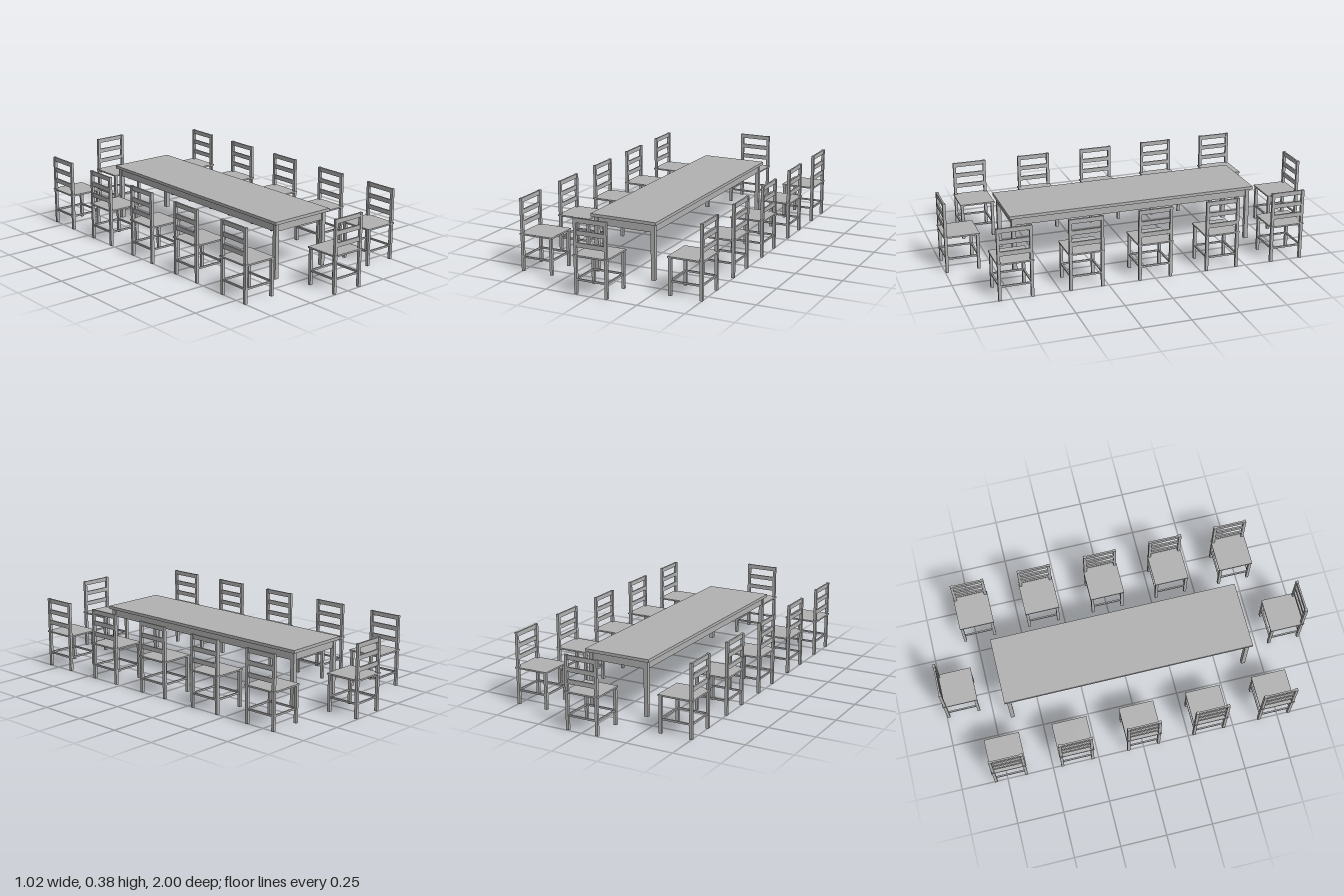
import * as THREE from 'three';

const grey = new THREE.MeshStandardMaterial({ color: 0xb2b2b2 });
grey.name = 'plain grey';

// Box given by its size and centre
function box(parent, name, w, h, d, x, y, z) {
  const mesh = new THREE.Mesh(new THREE.BoxGeometry(w, h, d), grey);
  mesh.name = name;
  mesh.position.set(x, y, z);
  parent.add(mesh);
}

function makeTable() {
  const table = new THREE.Group();
  table.name = 'table';
  const legX = 0.159, legZ = 0.651, leg = 0.022;
  box(table, 'tableTop', 0.366, 0.016, 1.35, 0, 0.297, 0);
  for (const s of [-1, 1]) {
    for (const t of [-1, 1]) box(table, 'tableLeg', leg, 0.289, leg, s * legX, 0.1445, t * legZ);
    // Aprons run between the legs
    box(table, 'sideApron', 0.012, 0.042, 2 * legZ - leg, s * legX, 0.268, 0);
    box(table, 'endApron', 2 * legX - leg, 0.042, 0.012, 0, 0.268, s * legZ);
  }
  return table;
}

// Chair facing +z, centred on its seat
function makeChair() {
  const chair = new THREE.Group();
  chair.name = 'chair';
  const p = 0.083, leg = 0.015, span = 2 * p - leg;
  box(chair, 'seat', 0.188, 0.008, 0.188, 0, 0.195, 0);
  for (const s of [-1, 1]) {
    box(chair, 'frontLeg', leg, 0.191, leg, s * p, 0.0955, p);
    box(chair, 'backPost', leg, 0.381, leg, s * p, 0.1905, -p);
    box(chair, 'sideStretcher', 0.008, 0.009, span, s * p, 0.0745, 0);
    box(chair, 'crossStretcher', span, 0.009, 0.008, 0, 0.0745, s * p);
  }
  // Ladder back
  for (const y of [0.248, 0.3085, 0.369]) box(chair, 'backRail', span, 0.023, 0.009, 0, y, -p);
  return chair;
}

export function createModel() {
  const model = new THREE.Group();
  model.name = 'diningSet';
  model.add(makeTable());

  const place = (name, x, z, turn) => {
    const chair = makeChair();
    chair.name = name;
    chair.position.set(x, 0, z);
    chair.rotation.y = turn;
    model.add(chair);
  };
  // Five chairs along each side and one at each end, all facing the table
  for (let i = -2; i <= 2; i++) {
    place('leftChair', 0.414, i * 0.365, -Math.PI / 2);
    place('rightChair', -0.414, i * 0.365, Math.PI / 2);
  }
  place('frontChair', 0, 0.906, Math.PI);
  place('backChair', 0, -0.906, 0);
  return model;
}
